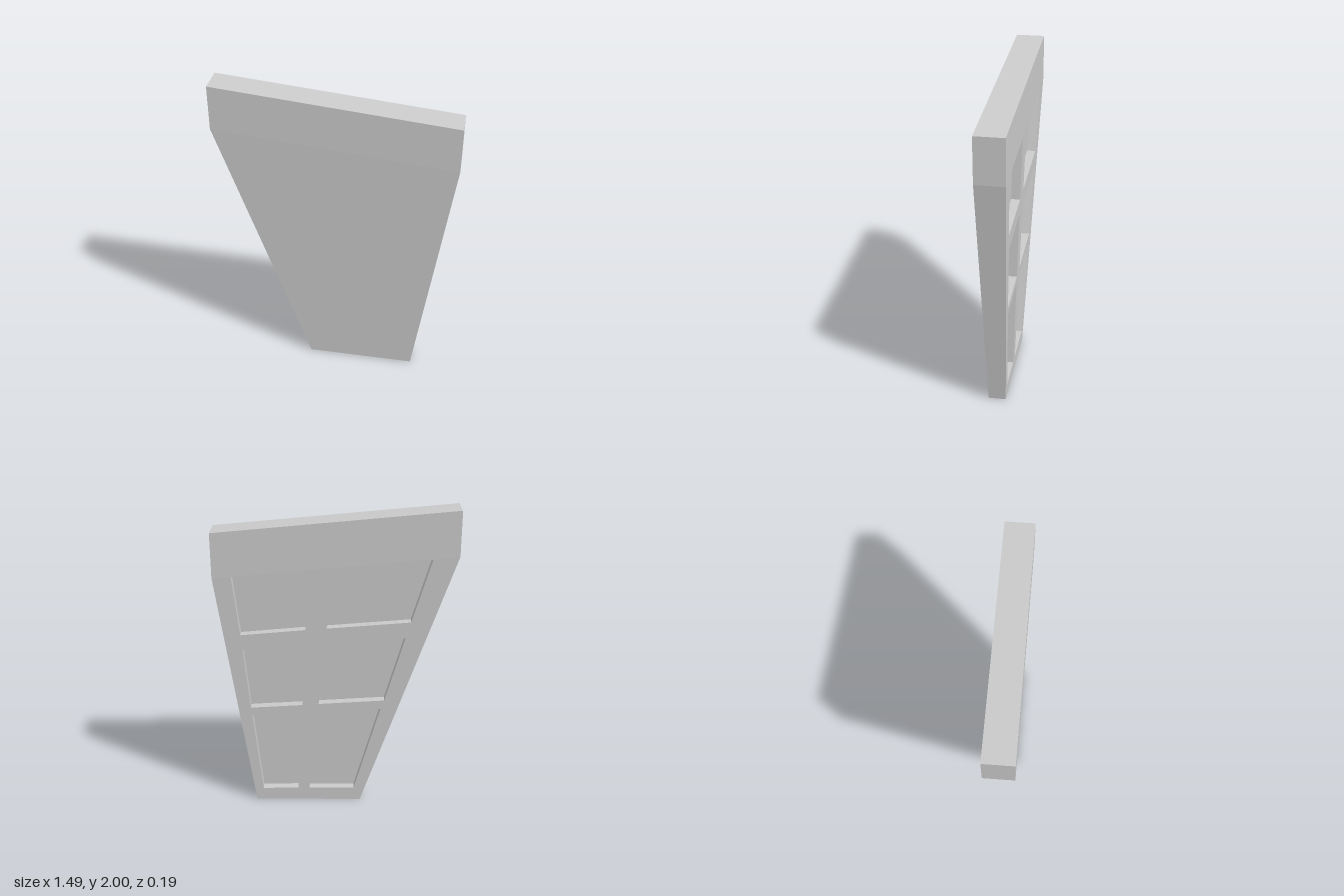
import * as THREE from 'three';

const material = new THREE.MeshStandardMaterial({ color: 0xcccccc, flatShading: true });

// Outline: a sloped head band above a shoulder line, and a tapering body below it
const HEAD = [[-0.745, 1.72], [0.745, 1.58], [0.745, 1.86], [-0.745, 2]];
const BODY = [[-0.165, 0], [0.525, 0], [0.745, 1.58], [-0.745, 1.72]];

// Recessed panels on the back
const POCKETS = [
  [[0.629, 1.588], [0.158, 1.631], [0.184, 1.243], [0.588, 1.206]],
  [[0.011, 1.645], [-0.585, 1.701], [-0.468, 1.296], [0.053, 1.253]],
  [[0.578, 1.107], [0.187, 1.143], [0.210, 0.718], [0.542, 0.697]],
  [[0.063, 1.152], [-0.436, 1.188], [-0.314, 0.753], [0.106, 0.726]],
  [[0.535, 0.640], [0.212, 0.666], [0.248, 0.089], [0.480, 0.085]],
  [[0.114, 0.666], [-0.291, 0.692], [-0.123, 0.090], [0.173, 0.088]],
];
const POCKET_DEPTH = 0.055;

// The head is of constant thickness; below the shoulder line both faces draw in
const drop = (x, y) => Math.max(0, 1.65 - 0.094 * x - y);
const backZ = (x, y) => -0.0935 + 0.005 * x + 0.0276 * drop(x, y);
const floorZ = (x, y) => backZ(x, y) + POCKET_DEPTH;
const frontZ = (x, y) => 0.0865 + 0.005 * x - 0.016 * drop(x, y);

const points = (list) => list.map(([x, y]) => new THREE.Vector2(x, y));

// Extrude an outline, then move its two caps onto the given surfaces
function slab(name, outline, zNear, zFar, holes = []) {
  const shape = new THREE.Shape(points(outline));
  holes.forEach((h) => shape.holes.push(new THREE.Path(points(h))));
  const geometry = new THREE.ExtrudeGeometry(shape, { depth: 1, bevelEnabled: false });
  const p = geometry.attributes.position;
  for (let i = 0; i < p.count; i++) {
    const x = p.getX(i), y = p.getY(i);
    p.setZ(i, p.getZ(i) < 0.5 ? zNear(x, y) : zFar(x, y));
  }
  geometry.computeVertexNormals();
  const mesh = new THREE.Mesh(geometry, material);
  mesh.name = name;
  return mesh;
}

export function createModel() {
  const group = new THREE.Group();
  group.name = 'taperedPanel';
  group.add(
    slab('headBand', HEAD, backZ, frontZ),
    slab('frontPlate', BODY, floorZ, frontZ),
    slab('backLattice', BODY, backZ, floorZ, POCKETS),
  );
  return group;
}
